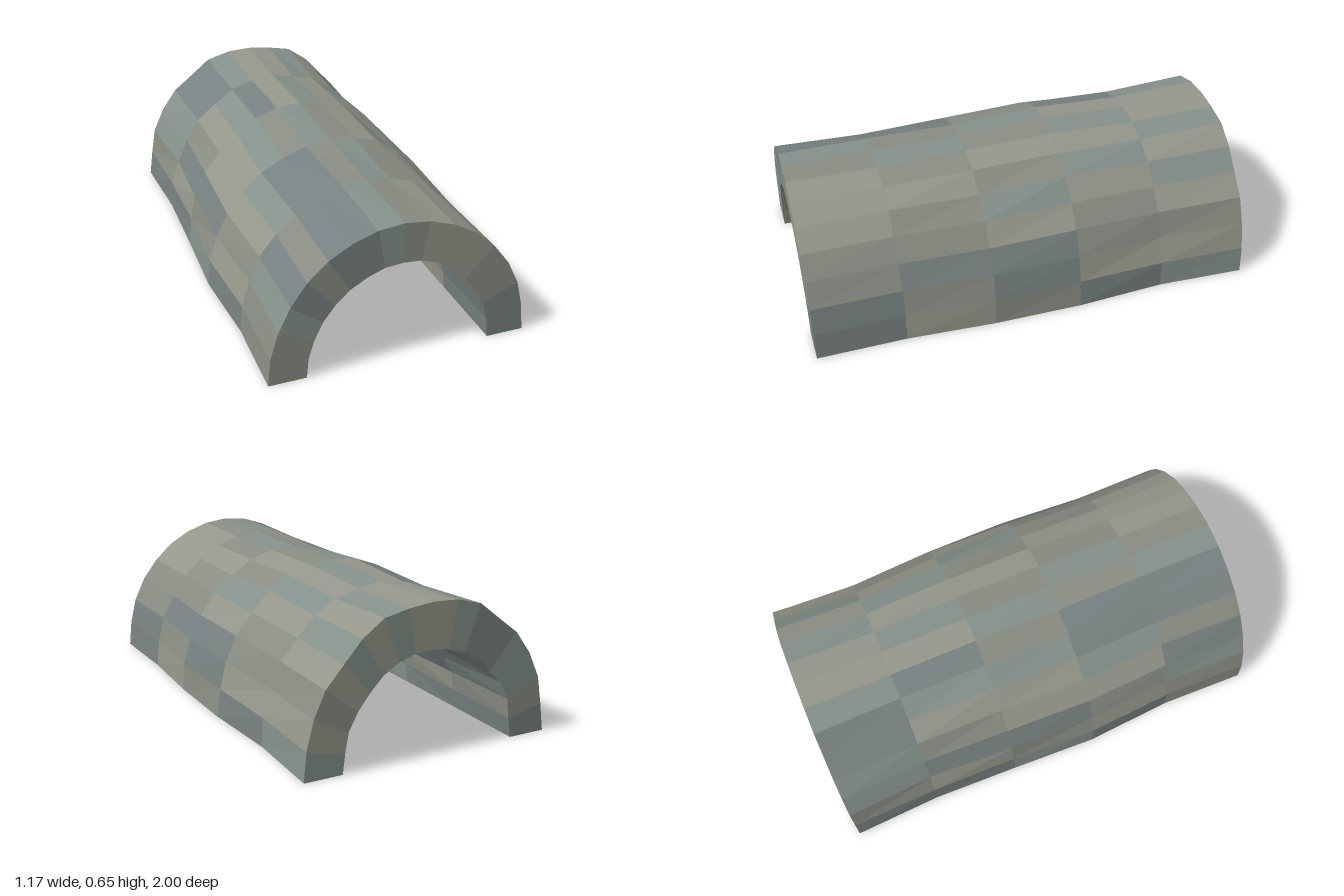
import * as THREE from 'three';

const SEGMENTS = 16; // stones around the arch
const STONES = [
  { name: 'warmStones', color: 0x94968a },
  { name: 'greyStones', color: 0x888c82 },
  { name: 'greenStones', color: 0x84908a },
  { name: 'blueStones', color: 0x778080 },
];

// Ring outlines from front to back: outer half widths (left, right), outer height, roughness
const RINGS = [
  { z: 1.0, left: 0.57, right: 0.57, top: 0.628, rough: 0.002 },
  { z: 0.6, left: 0.565, right: 0.56, top: 0.628, rough: 0.006 },
  { z: 0.2, left: 0.585, right: 0.588, top: 0.633, rough: 0.008 },
  { z: -0.2, left: 0.585, right: 0.572, top: 0.648, rough: 0.008 },
  { z: -0.6, left: 0.56, right: 0.56, top: 0.637, rough: 0.008 },
  { z: -1.0, left: 0.575, right: 0.578, top: 0.645, rough: 0.008 },
];

function seeded(seed) {
  return () => {
    seed = (seed * 16807) % 2147483647;
    return seed / 2147483647;
  };
}

// Half-ellipse of points from the left foot (+x) over the crown to the right foot
function archRing(z, left, right, top, rough, random) {
  return Array.from({ length: SEGMENTS + 1 }, (_, j) => {
    const a = (j / SEGMENTS) * Math.PI;
    const fixed = j === 0 || j === SEGMENTS || j === SEGMENTS / 2;
    const wobble = fixed ? 0 : (random() * 2 - 1) * rough;
    const c = Math.cos(a);
    const s = j === SEGMENTS ? 0 : Math.sin(a);
    return new THREE.Vector3(c * ((c > 0 ? left : right) + wobble), s * (top + wobble), z);
  });
}

export function createModel() {
  const group = new THREE.Group();
  group.name = 'stoneTunnel';
  const random = seeded(4211);

  const outer = RINGS.map((r) => archRing(r.z, r.left, r.right, r.top, r.rough, random));
  const inner = RINGS.map((r) => archRing(r.z, 0.404, 0.407, 0.45, r.rough, random));

  // Weathered edge of the back opening
  const back = RINGS.length - 1;
  for (const j of [6, 10]) outer[back][j].multiply(new THREE.Vector3(1.015, 1.015, 1));
  inner[back][12].multiply(new THREE.Vector3(0.98, 0.98, 1));

  const positions = STONES.map(() => []);
  const quad = (tone, a, b, c, d) => {
    for (const p of [a, b, c, a, c, d]) positions[tone].push(p.x, p.y, p.z);
  };
  const pick = () => Math.floor(random() * STONES.length);

  for (let i = 0; i < back; i++) {
    for (let j = 0; j < SEGMENTS; j++) {
      const tone = pick();
      const [o, p] = [outer[i], outer[i + 1]];
      const [m, n] = [inner[i], inner[i + 1]];
      // Vault outside and inside
      quad(tone, o[j], p[j], p[j + 1], o[j + 1]);
      quad(tone, m[j], m[j + 1], n[j + 1], n[j]);
      // End faces
      if (i === 0) quad(tone, o[j], o[j + 1], m[j + 1], m[j]);
      if (i === back - 1) quad(tone, p[j], n[j], n[j + 1], p[j + 1]);
      // Undersides of the feet
      if (j === 0) quad(tone, o[0], m[0], n[0], p[0]);
      if (j === SEGMENTS - 1) quad(tone, o[j + 1], p[j + 1], n[j + 1], m[j + 1]);
    }
  }

  // One faceted mesh for each stone colour
  STONES.forEach(({ name, color }, k) => {
    const geometry = new THREE.BufferGeometry();
    geometry.setAttribute('position', new THREE.Float32BufferAttribute(positions[k], 3));
    geometry.computeVertexNormals();
    const mesh = new THREE.Mesh(geometry, new THREE.MeshStandardMaterial({ color, flatShading: true }));
    mesh.name = name;
    group.add(mesh);
  });
  return group;
}
